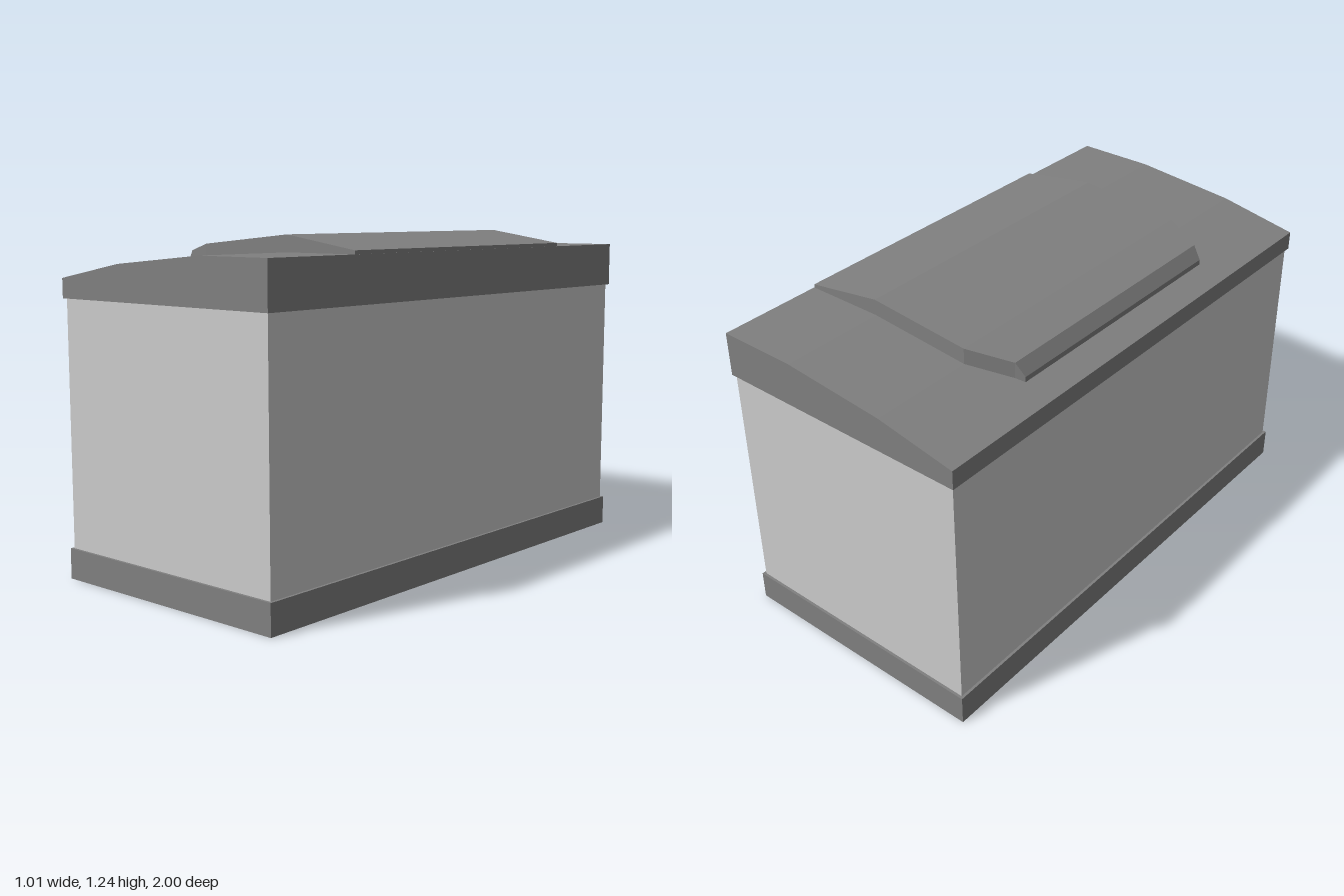
import * as THREE from 'three';

const wallMat = new THREE.MeshStandardMaterial({ color: 0xcccccc, flatShading: true });
const trimMat = new THREE.MeshStandardMaterial({ color: 0x808080, flatShading: true });

function addPart(group, name, geometry, material) {
  const mesh = new THREE.Mesh(geometry, material);
  mesh.name = name;
  group.add(mesh);
  return mesh;
}

// Closed solid lofted through rectangular sections: [x, half depth, bottom y, top y]
function loft(sections) {
  const rings = sections.map(([x, z, y0, y1]) => [[x, y0, z], [x, y1, z], [x, y1, -z], [x, y0, -z]]);
  const pos = [];
  const quad = (a, b, c, d) => pos.push(...a, ...b, ...c, ...a, ...c, ...d);
  for (let i = 0; i < rings.length - 1; i++) {
    for (let j = 0; j < 4; j++) {
      const k = (j + 1) % 4;
      quad(rings[i][j], rings[i + 1][j], rings[i + 1][k], rings[i][k]);
    }
  }
  quad(...rings[0]);
  quad(...[...rings[rings.length - 1]].reverse());
  const g = new THREE.BufferGeometry();
  g.setAttribute('position', new THREE.Float32BufferAttribute(pos, 3));
  g.computeVertexNormals();
  return g;
}

export function createModel() {
  const model = new THREE.Group();
  model.name = 'building';

  // Plinth
  addPart(model, 'base', new THREE.BoxGeometry(1.008, 0.112, 2), trimMat).position.y = 0.056;

  // Slightly inset walls
  addPart(model, 'walls', new THREE.BoxGeometry(0.988, 0.9, 1.98), wallMat).position.y = 0.56;

  // Sloping roof slab, one profile along the whole depth
  const profile = [[-0.504, 1.01], [0.504, 1.01], [0.504, 1.175], [0.2, 1.175], [-0.2, 1.138], [-0.504, 1.081]];
  const shape = new THREE.Shape(profile.map(([x, y]) => new THREE.Vector2(x, y)));
  const roof = new THREE.ExtrudeGeometry(shape, { depth: 2, bevelEnabled: false });
  addPart(model, 'roof', roof.translate(0, 0, -1), trimMat);

  // Raised panel on the roof, tapering at its low end
  addPart(model, 'roofPanel', loft([
    [-0.39, 0.515, 1.09, 1.122],
    [-0.355, 0.526, 1.1, 1.168],
    [-0.2, 0.6, 1.13, 1.197],
    [0.2, 0.6, 1.165, 1.235],
    [0.502, 0.6, 1.165, 1.188],
  ]), trimMat);

  return model;
}
